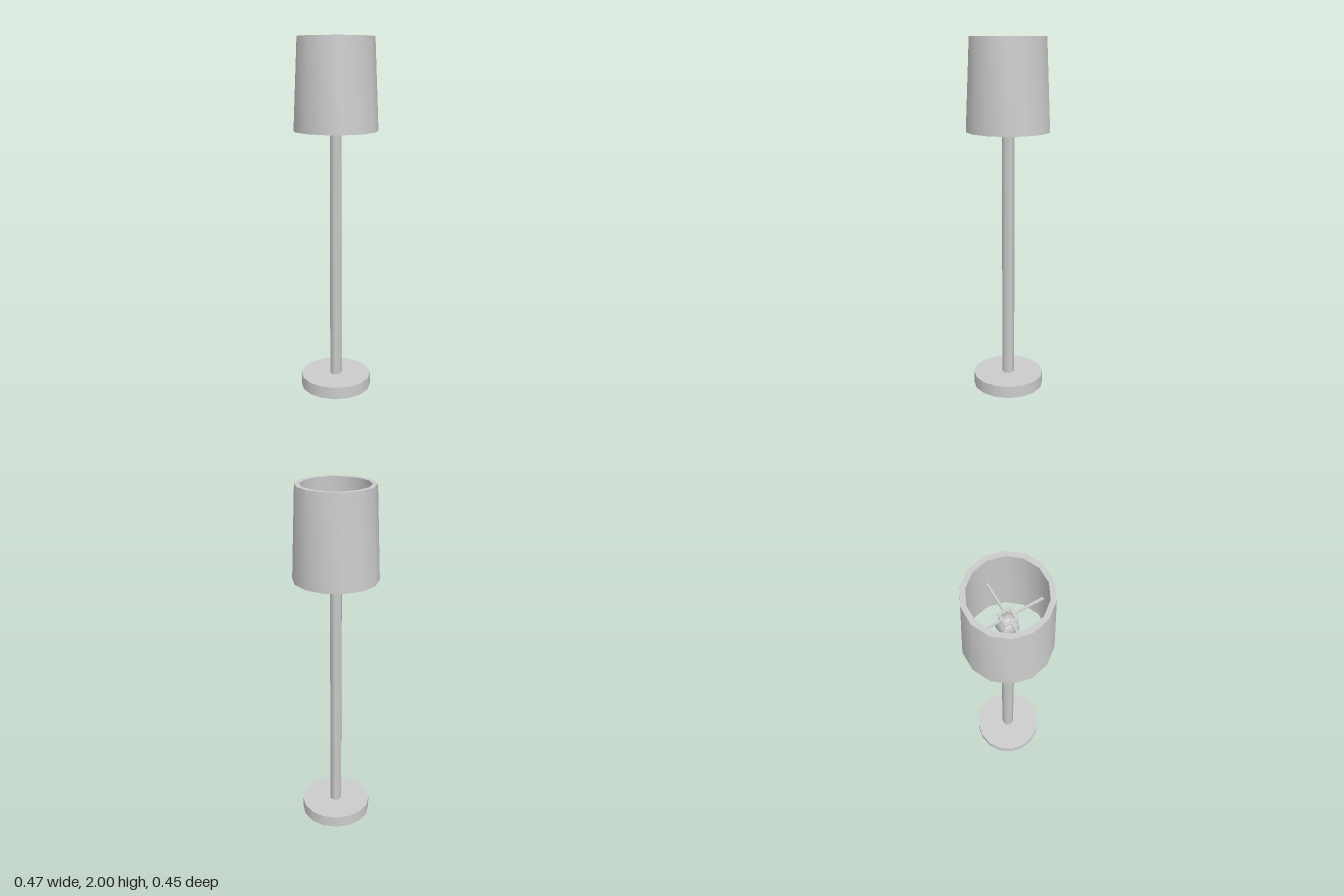
import * as THREE from 'three';
import { toCreasedNormals } from 'three/addons/utils/BufferGeometryUtils.js';

const solid = new THREE.MeshStandardMaterial({ color: 0xcccccc });
const thin = new THREE.MeshStandardMaterial({ color: 0xcccccc, side: THREE.DoubleSide });

const BASE_TOP = 0.07, BASE_R = 0.203, POLE_R = 0.035, POLE_TOP = 1.63;
const SHADE_SIDES = 14, HOLDER_Y = 1.77, BAR = 0.011;

export function createModel() {
  const model = new THREE.Group();
  model.name = 'floorLamp';

  function add(name, geometry, material = solid, parent = model) {
    const mesh = new THREE.Mesh(geometry, material);
    mesh.name = name;
    parent.add(mesh);
    return mesh;
  }

  // Open tube with a corner on +x
  const tube = (r, y0, y1, sides) =>
    new THREE.CylinderGeometry(r, r, y1 - y0, sides, 1, true, Math.PI / 2).translate(0, (y0 + y1) / 2, 0);

  // Corners of a regular polygon, for shapes and holes
  const polygon = (r, sides) => Array.from({ length: sides }, (_, i) => {
    const a = (i / sides) * Math.PI * 2;
    return new THREE.Vector2(r * Math.cos(a), r * Math.sin(a));
  });

  // Lathed part with a corner on +x
  const lathe = (points, sides, crease) => toCreasedNormals(
    new THREE.LatheGeometry(points.map(p => new THREE.Vector2(...p)), sides, Math.PI / 2), crease);

  // Base: hollow disc, open underneath, with a hole for the pole
  const base = new THREE.Group();
  base.name = 'base';
  model.add(base);
  add('baseRim', tube(BASE_R, 0, BASE_TOP, 16), thin, base);
  const plate = new THREE.Shape(polygon(BASE_R, 16));
  plate.holes.push(new THREE.Path(polygon(POLE_R, 6)));
  add('basePlate', new THREE.ShapeGeometry(plate).rotateX(-Math.PI / 2).translate(0, BASE_TOP, 0), thin, base);

  // Six-sided hollow pole
  add('pole', tube(POLE_R, BASE_TOP, POLE_TOP, 6), thin);

  // Five-sided bulb
  add('bulb', new THREE.SphereGeometry(0.061, 5, 6).scale(1, 1.25, 1)
    .rotateY(Math.PI).translate(0, POLE_TOP + 0.06, 0));

  // Tapered shade with wall thickness, open at both ends
  add('shade', lathe([
    [0.233, 1.5], [0.21, 2], [0.184, 2], [0.207, 1.5], [0.233, 1.5],
  ], SHADE_SIDES, Math.PI / 6), solid);

  // Holder: square collar with four arms to the shade
  const holder = new THREE.Group();
  holder.name = 'shadeHolder';
  holder.position.y = HOLDER_Y;
  model.add(holder);
  const square = h => [[-h, -h], [h, -h], [h, h], [-h, h]].map(p => new THREE.Vector2(...p));
  const collar = new THREE.Shape(square(0.038));
  collar.holes.push(new THREE.Path(square(0.024)));
  add('collar', new THREE.ExtrudeGeometry(collar, { depth: BAR, bevelEnabled: false })
    .rotateX(-Math.PI / 2).translate(0, -BAR / 2, 0), solid, holder);
  for (let i = 0; i < 4; i++) {
    const arm = add('arm', new THREE.BoxGeometry(0.165, BAR, BAR).translate(0.1205, 0, 0), solid, holder);
    arm.rotation.y = i * Math.PI / 2;
  }

  return model;
}
